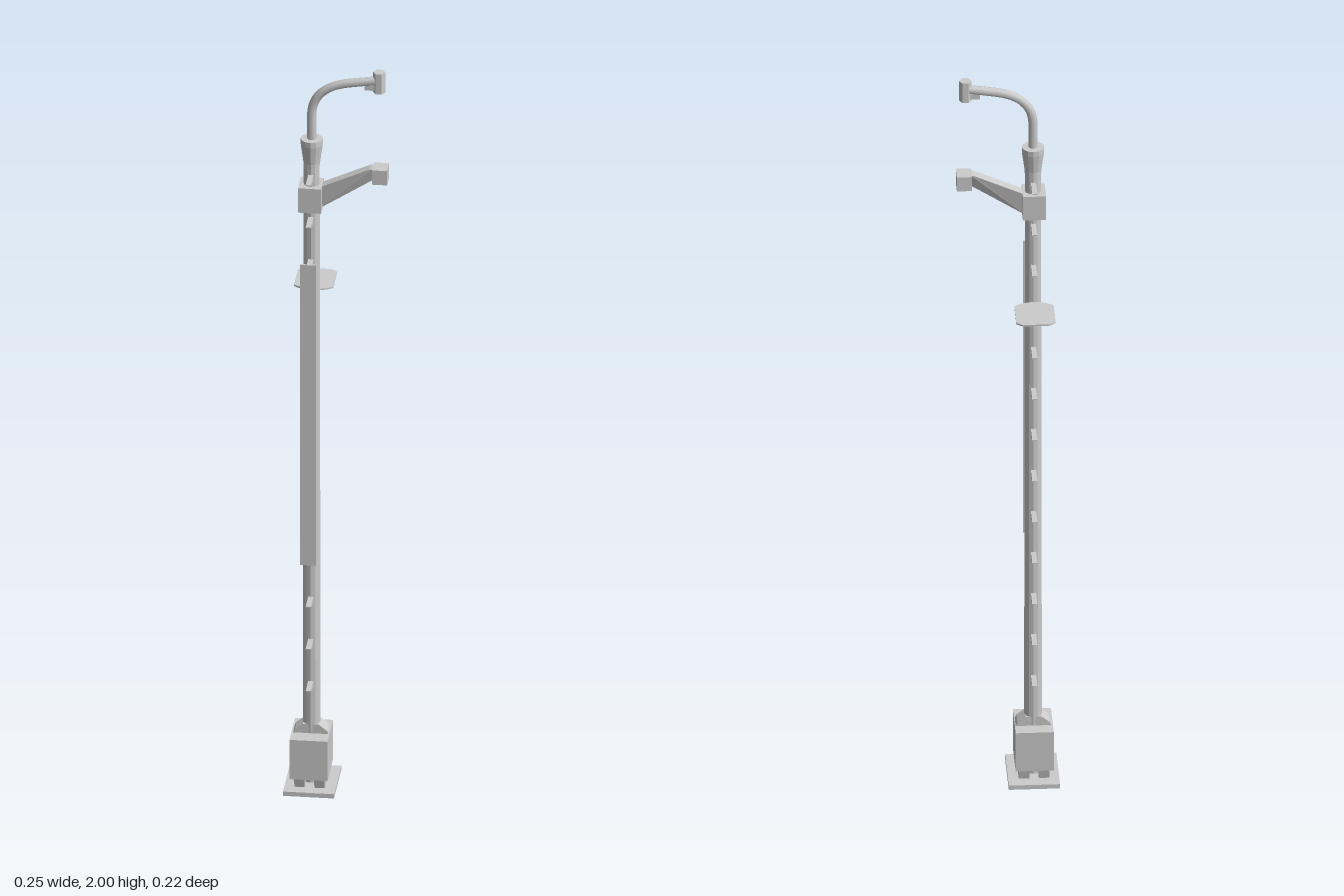
import * as THREE from 'three';

const PX = -0.065, PZ = 0.026; // pole axis

export function createModel() {
  const root = new THREE.Group();
  const mat = new THREE.MeshStandardMaterial({ color: 0xcccccc, flatShading: true, side: THREE.DoubleSide });
  const smooth = new THREE.MeshStandardMaterial({ color: 0xcccccc });

  const add = (name, geo, x = 0, y = 0, z = 0, m = mat) => {
    const mesh = new THREE.Mesh(geo, m);
    mesh.name = name;
    mesh.position.set(x, y, z);
    root.add(mesh);
    return mesh;
  };
  const box = (name, w, h, d, x, y, z) => add(name, new THREE.BoxGeometry(w, h, d), x, y, z);
  // Flat outline extruded symmetrically about z = 0
  const slab = (pts, depth) => {
    const shape = new THREE.Shape(pts.map(p => new THREE.Vector2(p[0], p[1])));
    const geo = new THREE.ExtrudeGeometry(shape, { depth, bevelEnabled: false });
    geo.translate(0, 0, -depth / 2);
    return geo;
  };

  // Foot plate, four tapered feet and the cabinet
  box('basePlate', 0.128, 0.012, 0.156, PX + 0.001, 0.006, PZ);
  for (const sx of [-1, 1]) for (const sz of [-1, 1]) {
    const foot = slab([[-0.018, 0], [0.018, 0], [0.012, -0.03], [-0.012, -0.03]], 0.026);
    foot.rotateY(Math.PI / 2);
    add('foot', foot, PX + sx * 0.025, 0.041, PZ + 0.002 + sz * 0.034);
  }
  box('cabinet', 0.095, 0.11, 0.12, PX - 0.001, 0.095, PZ + 0.003);
  for (const s of [-1, 1]) {
    add('gusset', slab([[0, 0], [s * 0.045, 0], [s * 0.04, 0.01], [s * 0.02, 0.026], [0, 0.026]], 0.042), PX, 0.149, PZ);
  }

  // Pole with flared cap
  add('pole', new THREE.CylinderGeometry(0.02, 0.0225, 1.72, 12), PX, 0.87, PZ);
  add('poleCap', new THREE.LatheGeometry([
    [0, 0], [0.021, 0], [0.021, 0.01], [0.028, 0.06], [0.028, 0.075], [0, 0.075],
  ].map(p => new THREE.Vector2(p[0], p[1])), 12), PX, 1.73, PZ);

  // Climbing pegs, front and back, tapering to the tip
  for (let i = 0; i < 13; i++) for (const s of [-1, 1]) {
    const peg = slab([[0.012, 0], [0.076, 0], [0.076, -0.002], [0.012, -0.02]], 0.013);
    peg.rotateY(-s * Math.PI / 2);
    add('climbingPeg', peg, PX, 0.296 + i * 0.118, PZ);
  }

  // Long front panel
  box('frontPanel', 0.041, 0.84, 0.005, PX, 1.07, 0.1035);

  // Flat rear panel with clipped outer corners and curved inner edge
  const plate = new THREE.Shape();
  plate.moveTo(-0.049, 0.015);
  plate.lineTo(-0.049, 0.098);
  plate.lineTo(-0.034, 0.11);
  plate.lineTo(0.034, 0.11);
  plate.lineTo(0.049, 0.098);
  plate.lineTo(0.049, 0.015);
  plate.quadraticCurveTo(0, -0.02, -0.049, 0.015);
  const plateGeo = new THREE.ExtrudeGeometry(plate, { depth: 0.004, bevelEnabled: false });
  plateGeo.rotateX(-Math.PI / 2);
  add('rearPanel', plateGeo, PX, 1.367, 0);

  // Clamp and rising bracket arm with a wedge section
  box('clamp', 0.058, 0.068, 0.064, PX - 0.002, 1.645, PZ);
  const arm = slab([[-0.045, 1.612], [0.09, 1.7], [0.09, 1.734], [0.08, 1.732], [-0.045, 1.675]], 0.028);
  const p = arm.attributes.position;
  for (let i = 0; i < p.count; i++) {
    const t = (p.getX(i) + 0.045) / 0.135;
    const low = p.getY(i) < 1.62 + 0.09 * t;
    if (low) p.setZ(i, p.getZ(i) * 0.3);
  }
  arm.computeVertexNormals();
  add('bracketArm', arm, 0, 0, PZ);
  box('bracketHead', 0.038, 0.04, 0.044, 0.107, 1.715, PZ);

  // Curved pipe and its end fitting
  const path = new THREE.CurvePath();
  const v = (x, y) => new THREE.Vector3(x, y, PZ);
  path.add(new THREE.LineCurve3(v(PX, 1.79), v(PX, 1.87)));
  path.add(new THREE.CubicBezierCurve3(v(PX, 1.87), v(PX, 1.925), v(-0.03, 1.955), v(0.03, 1.965)));
  path.add(new THREE.LineCurve3(v(0.03, 1.965), v(0.1, 1.976)));
  add('curvedPipe', new THREE.TubeGeometry(path, 28, 0.0115, 8), 0, 0, 0, smooth);
  add('endFitting', new THREE.CylinderGeometry(0.0155, 0.0155, 0.056, 6).rotateY(Math.PI / 6), 0.104, 1.972, PZ);
  box('fittingBracket', 0.03, 0.014, 0.014, 0.083, 1.957, PZ);

  return root;
}
